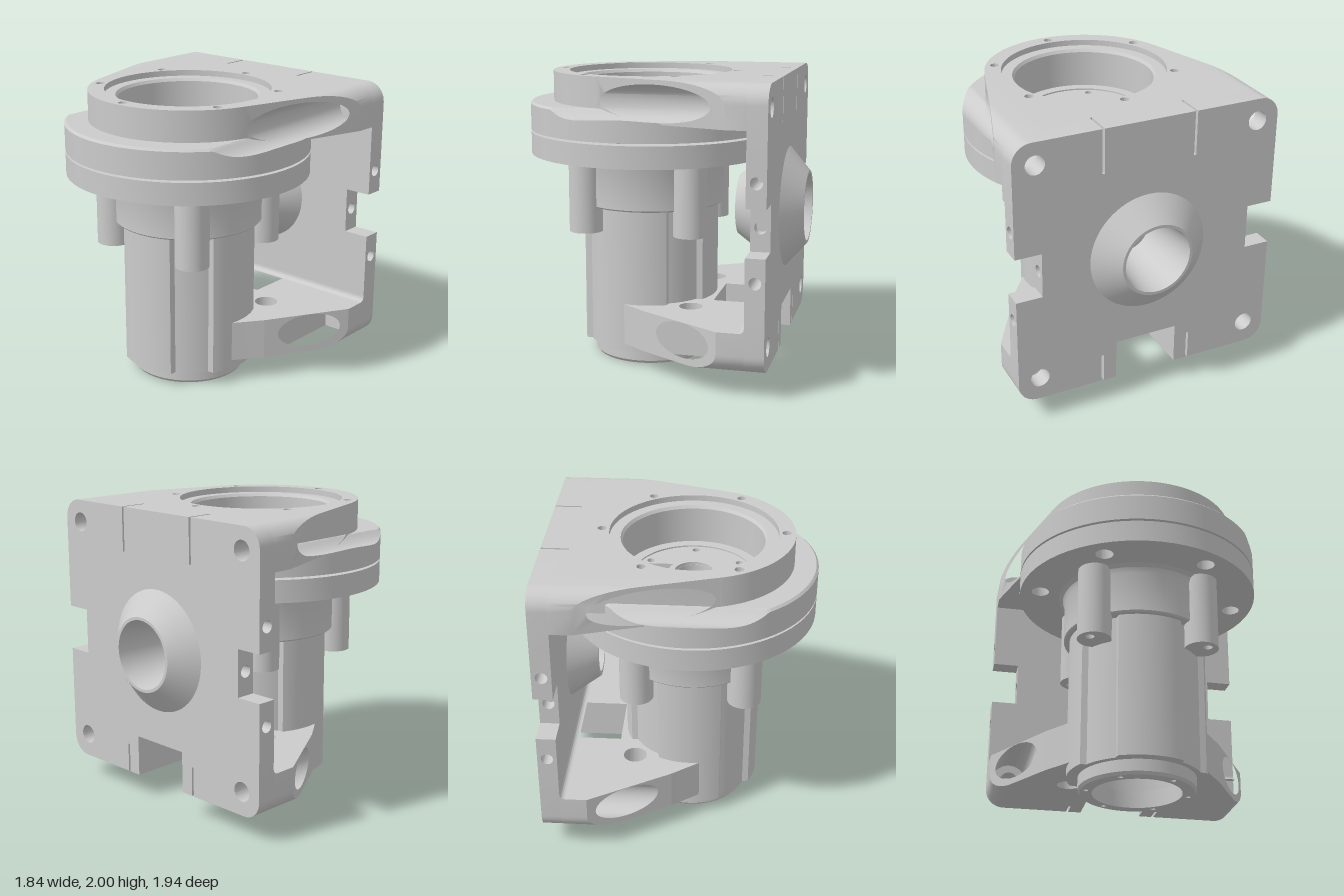
import * as THREE from 'three';
import { toCreasedNormals } from 'three/addons/utils/BufferGeometryUtils.js';

const ZC = 0.14; // z of the vertical bore axis
const mat = new THREE.MeshStandardMaterial({ color: 0xcccccc });

function add(group, name, geo) {
  const mesh = new THREE.Mesh(toCreasedNormals(geo, 0.5), mat);
  mesh.name = name;
  group.add(mesh);
}
const circle = (x, y, r) => new THREE.Path().absarc(x, y, r, 0, Math.PI * 2, true);
const polygon = (pts) => new THREE.Shape(pts.map(([x, y]) => new THREE.Vector2(x, y)));
const extrude = (shape, depth) =>
  new THREE.ExtrudeGeometry(shape, { depth, bevelEnabled: false, curveSegments: 32 });

// Shape drawn in (x, z), extruded between two heights
const slab = (shape, y0, y1) => extrude(shape, y1 - y0).rotateX(Math.PI / 2).translate(0, y1, 0);

function disc(r, holes) {
  const s = new THREE.Shape().absarc(0, ZC, r, 0, Math.PI * 2, false);
  s.holes.push(...holes);
  return s;
}
const lathe = (pts, segs = 96) =>
  new THREE.LatheGeometry(pts.map(([r, y]) => new THREE.Vector2(r, y)), segs);

// Ring of n holes around the bore axis
const holeRing = (n, radius, r, start) => Array.from({ length: n }, (_, i) => {
  const a = start + (i / n) * Math.PI * 2;
  return circle(radius * Math.cos(a), ZC + radius * Math.sin(a), r);
});

// Arm: a central slab rounded round the axis, plus two tapered corners with bolt bores
function addArm(group, name, { R, noseR, split, taperZ, y0, y1, boltY, boreR, back, holes, roundTop }) {
  const px = 0.92, pz = taperZ - ZC; // start of the taper, relative to the axis
  const a = Math.atan2(pz, px) + Math.acos(R / Math.hypot(px, pz));
  const taper = (x) => ZC + (R - Math.abs(x) * Math.cos(a)) / Math.sin(a);
  const centre = polygon([[-split, taper(split)], [-split, -0.7], ...back, [split, -0.7], [split, taper(split)]]);
  centre.absarc(0, ZC, noseR, a, Math.PI - a, false);
  centre.holes.push(...holes);
  add(group, name + 'Centre', slab(centre, y0, y1));

  for (const s of [-1, 1]) {
    const outer = roundTop ? y1 : y0, inner = roundTop ? y0 : y1;
    const c = roundTop ? -0.13 : 0.13;
    const shape = new THREE.Shape();
    shape.moveTo(s * split, inner);
    shape.lineTo(s * 0.92, inner);
    shape.lineTo(s * 0.92, outer + c);
    for (let i = 1; i <= 10; i++) {
      const t = (i / 10) * Math.PI / 2;
      shape.lineTo(s * (0.79 + 0.13 * Math.cos(t)), outer + c - c * Math.sin(t));
    }
    shape.lineTo(s * split, outer);
    shape.holes.push(circle(s * 0.77, boltY, boreR));
    const geo = extrude(shape, 1);
    const p = geo.attributes.position;
    // front vertices slide onto the taper plane
    for (let i = 0; i < p.count; i++) p.setZ(i, p.getZ(i) > 0.5 ? taper(p.getX(i)) : -0.7);
    add(group, name + (s > 0 ? 'LeftCorner' : 'RightCorner'), geo);
  }
}

function addBackPlate(group) {
  const arc = (cy, from) => Array.from({ length: 11 }, (_, i) => {
    const t = from + (i / 10) * Math.PI / 2;
    return [0.79 + 0.13 * Math.cos(t), cy + 0.13 * Math.sin(t)];
  });
  const half = [
    [0.22, 0.44], [0.22, 0.16], [0.312, 0.16], [0.312, 0.36], [0.328, 0.36], [0.328, 0.16],
    ...arc(0.29, -Math.PI / 2),
    [0.92, 0.6], [0.66, 0.6], [0.66, 1.55], [0.92, 1.55],
    ...arc(1.87, 0),
    [0.328, 2], [0.328, 1.7], [0.312, 1.7], [0.312, 2],
  ];
  const plate = polygon([...half, ...half.map(([x, y]) => [-x, y]).reverse()]);
  plate.holes.push(circle(0, 1.085, 0.33));
  for (const s of [-1, 1]) for (const y of [0.32, 1.85]) plate.holes.push(circle(s * 0.77, y, 0.065));
  add(group, 'backPlate', extrude(plate, 0.13).translate(0, 0, -0.83));

  // Side edges with cross-drilled holes; the middle one forms the notch
  for (const [y0, y1, x1, hy] of [[0.6, 0.93, 0.92, 0.77], [0.93, 1.24, 0.74, 1.085], [1.24, 1.55, 0.92, 1.4]]) {
    const edge = polygon([[0.7, y0], [0.83, y0], [0.83, y1], [0.7, y1]]);
    edge.holes.push(circle(0.765, hy, 0.04));
    for (const s of [-1, 1]) {
      add(group, 'plateEdge', extrude(edge, x1 - 0.66).rotateY(Math.PI / 2).translate(s > 0 ? 0.66 : -x1, 0, 0));
    }
  }

  // Conical boss passing through the plate
  const cone = lathe([[0.23, -0.97], [0.25, -0.97], [0.41, -0.83], [0.41, -0.82], [0.35, -0.72],
    [0.35, -0.7], [0.21, -0.5], [0.18, -0.5], [0.23, -0.97]], 64);
  add(group, 'coneBoss', cone.rotateX(Math.PI / 2).translate(0, 1.085, 0));

  // Concave fillet between plate and lower arm
  const fillet = new THREE.Shape();
  fillet.moveTo(0.7, 0.44);
  fillet.lineTo(0.7, 0.48);
  fillet.quadraticCurveTo(0.7, 0.44, 0.66, 0.44);
  add(group, 'fillet', extrude(fillet, 1.84).rotateY(Math.PI / 2).translate(-0.92, 0, 0));
}

function addFlanges(group) {
  // Upper flange with the stepped seat; shallow grooves in its top run on from the bolt bores
  const top = Array.from({ length: 33 }, (_, i) => [0.815 - i * 0.0075, 1.795]);
  const upper = lathe([[0.4, 1.6], [0.83, 1.6], [0.83, 1.7], [0.83, 1.78], ...top, [0.57, 1.795],
    [0.57, 1.96], [0.485, 1.96], [0.47, 1.94], [0.47, 1.69], [0.4, 1.69], [0.4, 1.6]], 240).translate(0, 0, ZC);
  const p = upper.attributes.position;
  for (let i = 0; i < p.count; i++) {
    const u = (Math.abs(p.getX(i)) - 0.77) / 0.12;
    const outside = Math.hypot(p.getX(i), p.getZ(i) - ZC) > 0.56;
    if (outside && p.getY(i) < 1.85 && Math.abs(u) < 1) p.setY(i, Math.min(p.getY(i), 1.73 + 0.065 * u * u));
  }
  add(group, 'upperFlange', upper);
  const lower = disc(0.83, [circle(0, ZC, 0.4), ...holeRing(6, 0.69, 0.06, 0)]);
  add(group, 'lowerFlange', slab(lower, 1.435, 1.585));

  // Seat floor with a window, screw holes and a hub
  const opening = polygon([[-0.13, -0.2], [0.13, -0.2], [0.13, 0.01], [-0.13, 0.01]]);
  const floor = disc(0.41, [opening, circle(0, ZC, 0.128), ...holeRing(6, 0.35, 0.025, 0)]);
  add(group, 'seatFloor', slab(floor, 1.61, 1.68));
  add(group, 'hub', slab(disc(0.17, [circle(0, ZC, 0.13)]), 1.6, 1.7));
}

function addBody(group) {
  // Column with four shallow diagonal grooves
  const outline = Array.from({ length: 120 }, (_, i) => {
    const t = (i / 120) * Math.PI * 2;
    const r = Math.abs(Math.sin(2 * t)) > 0.85 ? 0.435 : 0.47;
    return [r * Math.cos(t), ZC + r * Math.sin(t)];
  });
  const column = polygon(outline);
  column.holes.push(circle(0, ZC, 0.36));
  add(group, 'column', slab(column, 0.1, 1.12));

  add(group, 'collar', lathe([[0.36, 1.09], [0.5, 1.09], [0.51, 1.1], [0.51, 1.38], [0.525, 1.415],
    [0.56, 1.44], [0.36, 1.44], [0.36, 1.09]]).translate(0, 0, ZC));
  for (const sx of [-1, 1]) for (const sz of [-1, 1]) {
    const boss = new THREE.Shape().absarc(sx * 0.365, ZC + sz * 0.365, 0.115, 0, Math.PI * 2, false);
    boss.holes.push(circle(sx * 0.4, ZC + sz * 0.4, 0.03));
    add(group, 'screwBoss', slab(boss, 0.92, 1.44));
  }
  // Foot ring with small screw holes and a chamfered rim
  add(group, 'footRing', slab(disc(0.38, [circle(0, ZC, 0.3), ...holeRing(6, 0.345, 0.018, 0)]), 0, 0.12));
  add(group, 'footRim', lathe([[0.37, 0], [0.38, 0], [0.395, 0.02], [0.395, 0.12], [0.37, 0.12]]).translate(0, 0, ZC));
}

export function createModel() {
  const model = new THREE.Group();
  model.name = 'bearingHousing';
  addBackPlate(model);
  const slit = (x) => [[x - 0.008, -0.7], [x - 0.008, -0.645], [x + 0.008, -0.645], [x + 0.008, -0.7]];
  addArm(model, 'upperArm', {
    R: 0.67, noseR: 0.67, split: 0.642, taperZ: -0.565, y0: 1.72, y1: 2, boltY: 1.85, boreR: 0.12, roundTop: true,
    back: [...slit(-0.32), ...slit(0.32)],
    holes: [circle(0, ZC, 0.56), ...holeRing(6, 0.61, 0.03, Math.PI / 6)],
  });
  // The lower arm is drilled below the rear bosses for screw access
  addArm(model, 'lowerArm', {
    R: 0.46, noseR: 0.42, split: 0.6, taperZ: -0.52, y0: 0.16, y1: 0.44, boltY: 0.32, boreR: 0.118, roundTop: false,
    back: [[-0.22, -0.7], [-0.22, -0.36], [0.22, -0.36], [0.22, -0.7]],
    holes: [circle(0, ZC, 0.36), circle(0.4, ZC - 0.38, 0.08), circle(-0.4, ZC - 0.38, 0.08)],
  });
  addFlanges(model);
  addBody(model);
  return model;
}
